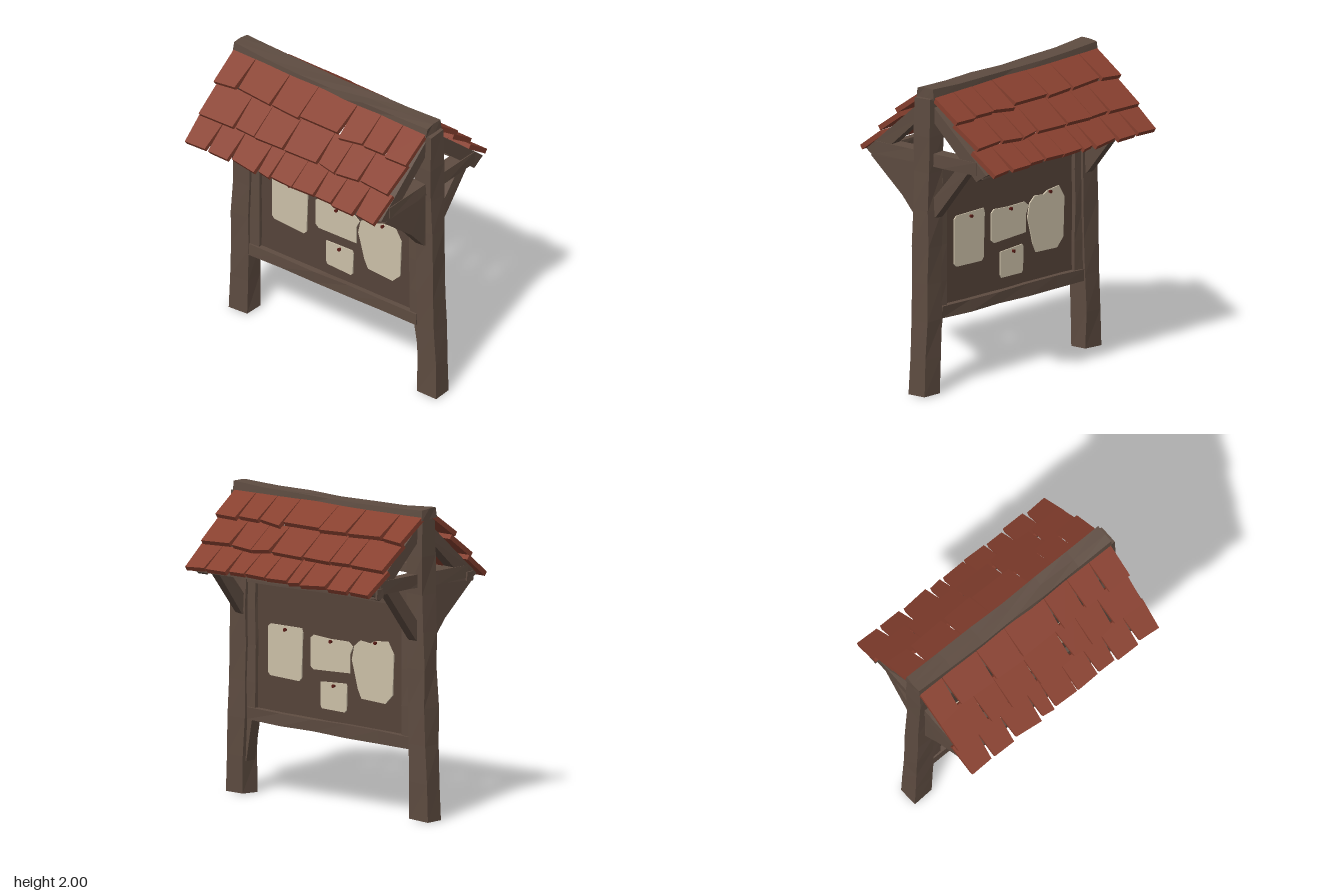
import * as THREE from 'three';
import { mergeGeometries } from 'three/addons/utils/BufferGeometryUtils.js';

const mat = (name, color, side = THREE.FrontSide) => {
  const m = new THREE.MeshStandardMaterial({ color, flatShading: true, side });
  m.name = name;
  return m;
};

export function createModel() {
  const model = new THREE.Group();
  model.name = 'noticeBoard';
  const wood = mat('brown wood', 0x5e4c41);
  const boardWood = mat('dark board wood', 0x56443a);
  const tileRed = mat('red roof tile', 0x88402f);
  const paper = mat('old paper', 0xcdc1a9);
  const tackRed = mat('dark red tack', 0x5a1c16);

  const add = (name, geo, material, parent = model) => {
    const mesh = new THREE.Mesh(geo, material);
    mesh.name = name;
    parent.add(mesh);
    return mesh;
  };

  // repeatable noise in -1..1 from a position, so shared corners stay joined
  const noise = (x, y, z, k) => {
    const s = Math.sin(x * 127.1 + y * 311.7 + z * 74.7 + k * 53.3) * 43758.5453;
    return (s - Math.floor(s)) * 2 - 1;
  };

  // move every vertex by a rule
  const warp = (geo, rule) => {
    const p = geo.attributes.position;
    const v = new THREE.Vector3();
    for (let i = 0; i < p.count; i++) {
      v.fromBufferAttribute(p, i);
      rule(v);
      p.setXYZ(i, v.x, v.y, v.z);
    }
    geo.computeVertexNormals();
    return geo;
  };

  const rough = (geo, a) => warp(geo, (v) => {
    const [x, y, z] = v.toArray().map((n) => Math.round(n * 1000) / 1000);
    v.x += noise(x, y, z, 1) * a;
    v.y += noise(x, y, z, 2) * a;
    v.z += noise(x, y, z, 3) * a;
  });

  // hand-hewn box between two corners
  const beam = (name, lo, hi, segs, a = 0.006, rule = null, material = wood) => {
    const s = hi.map((h, i) => h - lo[i]);
    const geo = new THREE.BoxGeometry(...s, ...segs);
    geo.translate(...hi.map((h, i) => (h + lo[i]) / 2));
    if (rule) warp(geo, rule);
    return add(name, rough(geo, a), material);
  };

  // profile of [z, y] points, given a thickness along x
  const profile = (name, pts, x, width) => {
    const shape = new THREE.Shape(pts.map((p) => new THREE.Vector2(...p)));
    const geo = new THREE.ExtrudeGeometry(shape, { depth: width, bevelEnabled: false });
    geo.rotateY(-Math.PI / 2).translate(x + width / 2, 0, 0);
    return add(name, rough(geo, 0.004), wood);
  };

  // posts, spreading and thickening toward the ground
  for (const s of [-1, 1]) {
    const side = s > 0 ? 'left' : 'right';
    beam(side + 'Post', [-0.065, 0.004, -0.064], [0.065, 1.93, 0.064], [1, 8, 1], 0.006, (v) => {
      const t = Math.min(v.y / 1.48, 1);
      v.x = v.x * (1.14 - 0.14 * t) + s * (0.768 - 0.034 * t);
      if (v.y < 0.01) v.y = 0.006;
    });

    // gable truss
    const x = s * 0.715;
    beam(side + 'TieBeam', [x - 0.045, 1.49, -0.42], [x + 0.045, 1.575, 0.42], [1, 1, 3], 0.004);
    for (const f of [-1, 1]) {
      const pts = [[0, 1.93], [0.5, 1.51], [0.42, 1.455], [0, 1.83]];
      profile(side + (f > 0 ? 'FrontRafter' : 'BackRafter'), pts.map(([z, y]) => [z * f, y]), x, 0.08);
    }

    // solid bracket in front, open brace behind
    profile(side + 'FrontBracket',
      [[0.04, 1.5], [0.04, 1.1], [0.08, 1.12], [0.2, 1.26], [0.46, 1.47], [0.42, 1.5]], s * 0.722, 0.065);
    profile(side + 'BackBrace',
      [[-0.04, 1.14], [-0.08, 1.16], [-0.35, 1.5], [-0.25, 1.5], [-0.05, 1.27]], s * 0.722, 0.065);

    // side battens of the board
    beam(side + 'Batten', [Math.min(s * 0.61, s * 0.7), 0.49, -0.045], [Math.max(s * 0.61, s * 0.7), 1.42, 0.045],
      [1, 4, 1], 0.004);
  }

  // flared foot of the left batten against its post
  const flare = new THREE.Shape([[0.64, 0.5], [0.69, 0.21], [0.72, 0.21], [0.72, 0.5]].map((p) => new THREE.Vector2(...p)));
  add('battenFoot', new THREE.ExtrudeGeometry(flare, { depth: 0.08, bevelEnabled: false }).translate(0, 0, -0.04), wood);

  // board and its rails
  beam('board', [-0.66, 0.5, -0.02], [0.66, 1.4, 0.02], [1, 1, 1], 0, null, boardWood);
  beam('topRail', [-0.69, 1.36, -0.058], [0.67, 1.465, 0.058], [5, 1, 1], 0.006);
  beam('bottomRail', [-0.7, 0.45, -0.058], [0.67, 0.53, 0.058], [5, 1, 1], 0.004, (v) => {
    v.y += (v.x + 0.7) * 0.022;
  });

  // eave purlins and sagging ridge beam
  for (const f of [-1, 1]) {
    beam('eavePurlin', [-0.77, 1.47, f * 0.43 - 0.03], [0.74, 1.53, f * 0.43 + 0.03], [4, 1, 1], 0.005);
  }
  beam('ridgeBeam', [-0.8, 1.925, -0.075], [0.768, 1.992, 0.075], [6, 1, 2], 0.006, (v) => {
    v.y -= 0.02 * (1 - (v.x / 0.8) ** 2);
    if (v.y > 1.95 && Math.abs(v.z) > 0.05) v.z *= 0.88;
  });

  // roof tiles: x edges, upper end and lower end as [z, y]
  const rows = [
    { xs: [-0.8, -0.62, -0.34, -0.11, 0.21, 0.4, 0.58, 0.76], up: [0.05, 1.955], low: [0.262, 1.815] },
    { xs: [-0.79, -0.51, -0.34, -0.11, 0.16, 0.315, 0.5, 0.75], up: [0.23, 1.795], low: [0.422, 1.66] },
    { xs: [-0.8, -0.61, -0.43, -0.21, -0.1, 0.08, 0.25, 0.4, 0.58, 0.755], up: [0.385, 1.645], low: [0.565, 1.52] },
  ];
  const tile = (x0, x1, { up, low }, k) => {
    const dz = low[0] - up[0], dy = low[1] - up[1], len = Math.hypot(dz, dy);
    return warp(new THREE.BoxGeometry(1, 1, 1), (v) => {
      const down = v.z > 0;
      const gap = down ? 0.011 + 0.007 * noise(k, x0, v.x, 4) : 0.001;
      const t = down ? 1 + 0.06 * noise(k, x0, v.x, 5) : 0;
      const drop = v.y > 0 ? 0 : 0.032;
      const lift = down ? 0.006 * noise(k, x0, 1, 6) : 0;
      v.set(v.x < 0 ? x0 + gap : x1 - gap,
        up[1] + dy * t - drop * dz / len + lift,
        up[0] + dz * t + drop * dy / len);
    });
  };
  const mirrorZ = (geo) => {
    const g = geo.clone().scale(1, 1, -1);
    const ix = g.index.array;
    for (let i = 0; i < ix.length; i += 3) [ix[i], ix[i + 1]] = [ix[i + 1], ix[i]];
    g.computeVertexNormals();
    return g;
  };
  rows.forEach((row, r) => {
    const tiles = row.xs.slice(1).map((x, i) => tile(row.xs[i], x, row, r + 1));
    const geo = mergeGeometries(tiles);
    add('frontTileRow', geo, tileRed);
    add('backTileRow', mirrorZ(geo), tileRed);
  });

  // paper notes, each with a tack
  const notes = [
    { pts: [[-0.52, 1.09], [-0.5, 1.11], [-0.24, 1.11], [-0.23, 1.08], [-0.24, 0.79], [-0.26, 0.77], [-0.5, 0.78], [-0.52, 0.8]], tack: [-0.37, 1.085] },
    { pts: [[-0.165, 1.06], [-0.14, 1.08], [0.0, 1.07], [0.15, 1.07], [0.19, 1.04], [0.165, 0.99], [0.165, 0.87], [-0.14, 0.86], [-0.165, 0.88]], tack: [0.01, 1.055] },
    { pts: [[0.2, 1.05], [0.25, 1.09], [0.33, 1.08], [0.37, 1.1], [0.48, 1.11], [0.53, 1.03], [0.52, 0.77], [0.46, 0.71], [0.26, 0.72], [0.23, 0.78], [0.195, 0.91], [0.18, 0.96]], tack: [0.385, 1.09] },
    { pts: [[-0.08, 0.79], [0.13, 0.8], [0.14, 0.78], [0.135, 0.63], [0.12, 0.615], [-0.07, 0.62], [-0.08, 0.64]], tack: [0.035, 0.775] },
  ];
  for (const back of [false, true]) {
    const side = new THREE.Group();
    side.name = back ? 'backNotes' : 'frontNotes';
    side.rotation.y = back ? Math.PI : 0;
    model.add(side);
    for (const { pts, tack } of notes) {
      const shape = new THREE.Shape(pts.map((p) => new THREE.Vector2(...p)));
      add('note', new THREE.ExtrudeGeometry(shape, { depth: 0.008, bevelEnabled: false }).translate(0, 0, 0.021), paper, side);
      add('tack', new THREE.CylinderGeometry(0.012, 0.009, 0.02, 6).rotateX(Math.PI / 2).translate(...tack, 0.036), tackRed, side);
    }
  }
  return model;
}
